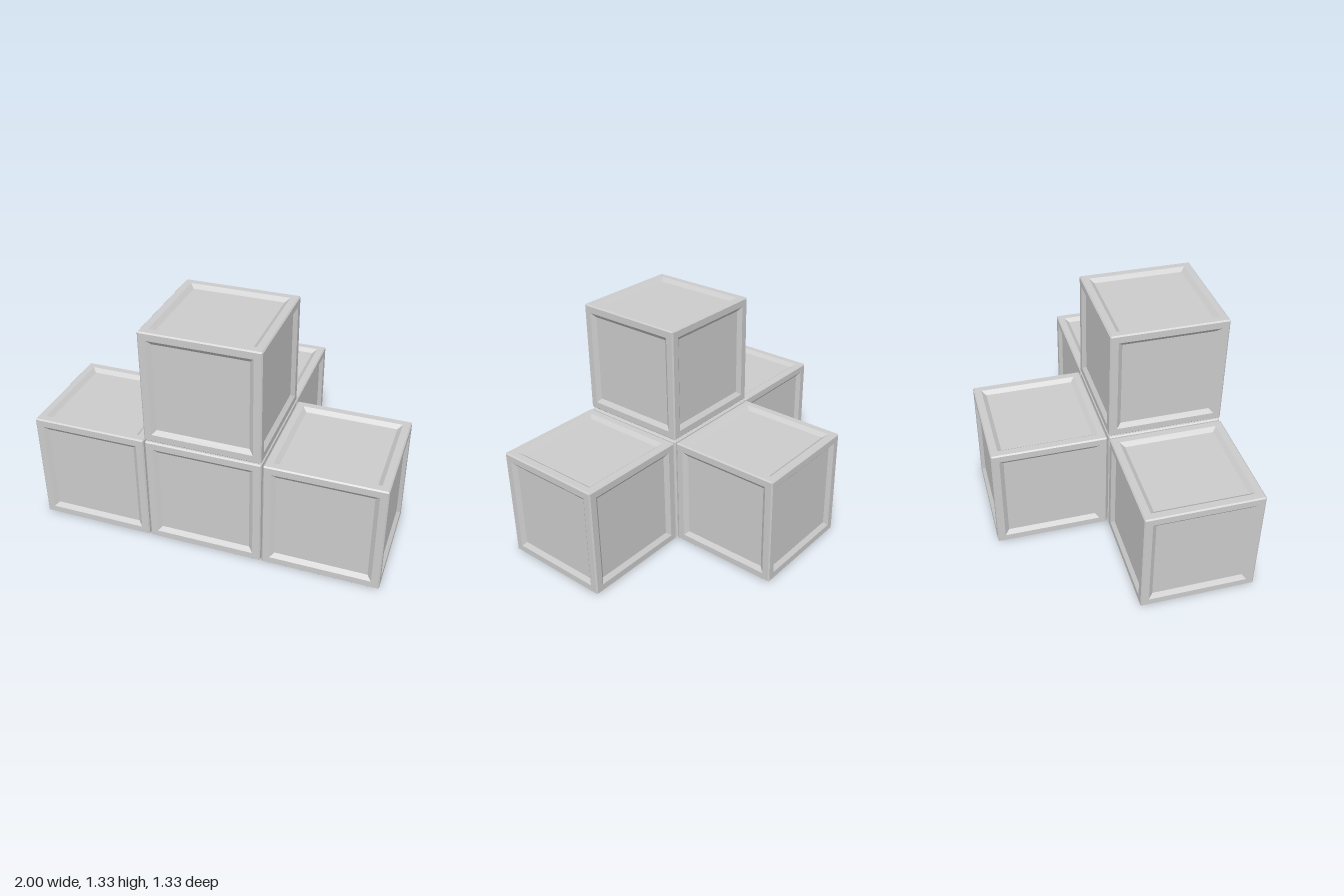
import * as THREE from 'three';
import { mergeGeometries } from 'three/addons/utils/BufferGeometryUtils.js';

const SIZE = 0.661;   // edge of one cube
const PITCH = 0.6695; // spacing of cubes, leaving a thin seam

// One side of a cube: half chamfer, flat frame, sloped step, recessed panel.
// A four-sided lathe gives the square rings, with mitred corners.
function sideGeometry() {
  const h = SIZE / 2, bevel = 0.007, depth = 0.02;
  const profile = [
    [h - bevel / 2, h - bevel / 2],
    [h - bevel, h],
    [h - 0.045, h],
    [h - 0.07, h - depth],
    [0, h - depth],
  ].map(([half, y]) => new THREE.Vector2(half * Math.SQRT2, y));
  const side = new THREE.LatheGeometry(profile, 4, Math.PI / 4).toNonIndexed();
  side.computeVertexNormals();
  return side;
}

// Six equal sides turned to face each direction
function cubeGeometry() {
  const q = Math.PI / 2;
  const turns = [[0, 0], [q, 0], [2 * q, 0], [-q, 0], [0, q], [0, -q]];
  return mergeGeometries(turns.map(([x, z]) => sideGeometry().rotateX(x).rotateZ(z)));
}

export function createModel() {
  const model = new THREE.Group();
  model.name = 'cubeStack';
  const geometry = cubeGeometry();
  const material = new THREE.MeshStandardMaterial({ color: 0xcccccc, flatShading: true });

  // Grid cells: a row of three, one on top of the middle, one behind it
  const cells = {
    rightCube: [-1, 0, 0],
    middleCube: [0, 0, 0],
    leftCube: [1, 0, 0],
    topCube: [0, 1, 0],
    backCube: [0, 0, -1],
  };
  for (const [name, [x, y, z]] of Object.entries(cells)) {
    const cube = new THREE.Mesh(geometry, material);
    cube.name = name;
    cube.position.set(x * PITCH, y * PITCH + SIZE / 2, (z + 0.5) * PITCH);
    model.add(cube);
  }
  return model;
}
